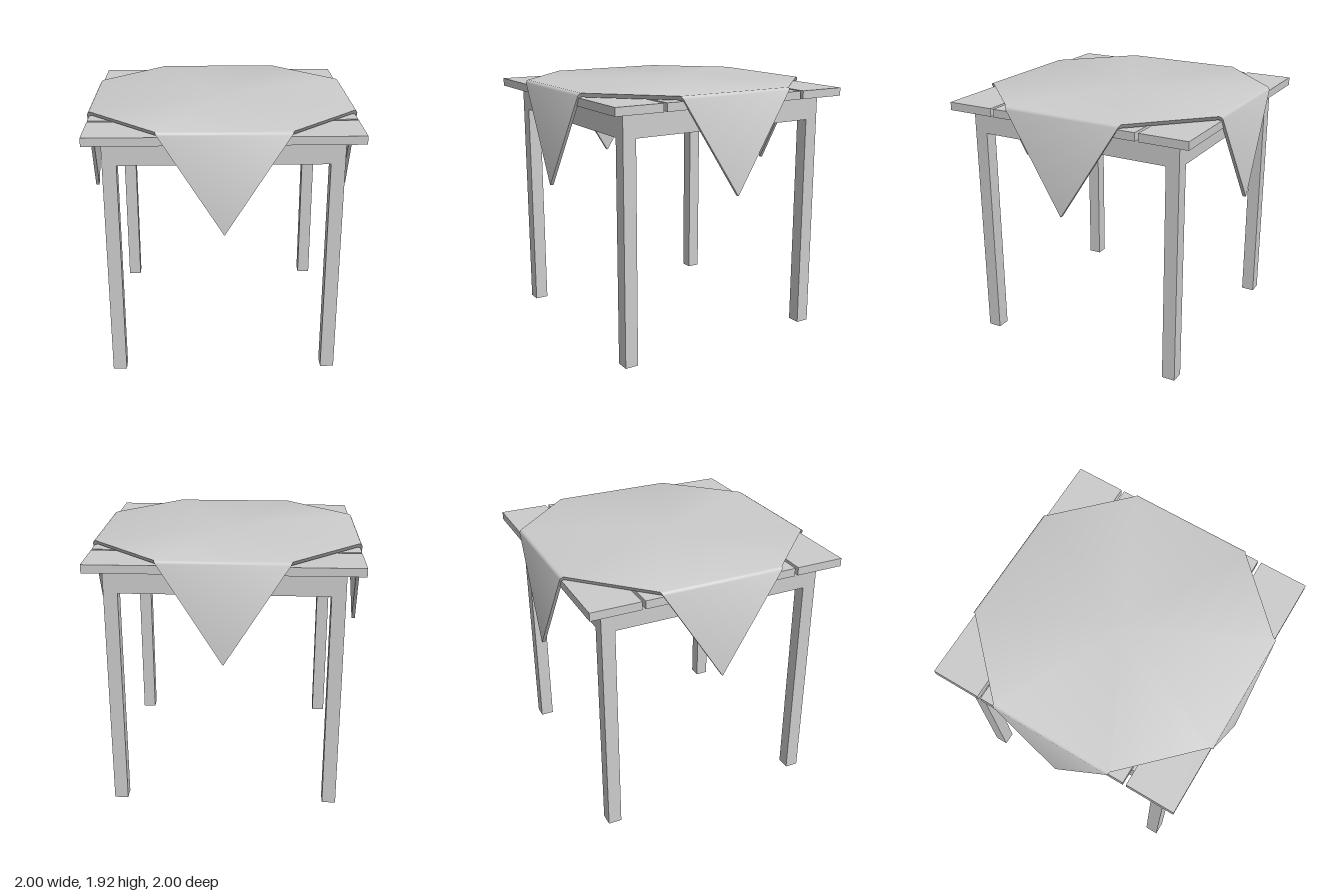
import * as THREE from 'three';
import { toCreasedNormals } from 'three/addons/utils/BufferGeometryUtils.js';

const material = new THREE.MeshStandardMaterial({ color: 0xcccccc });

function box(name, w, h, d, x, y, z) {
  const mesh = new THREE.Mesh(new THREE.BoxGeometry(w, h, d), material);
  mesh.name = name;
  mesh.position.set(x, y, z);
  return mesh;
}

// Square cloth laid diagonally: octagonal top with four hanging triangular flaps
function clothGeometry() {
  // stations over the fold: outer y, outer z, inner y, inner z
  const stations = [
    [1.92, 0.95, 1.89, 0.943],
    [1.913, 0.965, 1.885, 0.948],
    [1.898, 0.973, 1.875, 0.95],
    [1.185, 1.0, 1.185, 0.974],
  ];
  const halfWidth = (y) => Math.max(0.002, 0.465 * (y - 1.185) / 0.735);
  const up = new THREE.Vector3(0, 1, 0);
  const positions = [];
  const tri = (...pts) => pts.forEach((p) => positions.push(p.x, p.y, p.z));
  const quad = (a, b, c, d) => { tri(a, b, c); tri(a, c, d); };

  const flaps = [0, 1, 2, 3].map((side) => stations.map(([yo, zo, yi, zi]) => {
    const wo = halfWidth(yo), wi = halfWidth(yi);
    return [[-wo, yo, zo], [wo, yo, zo], [wi, yi, zi], [-wi, yi, zi]]
      .map((p) => new THREE.Vector3(...p).applyAxisAngle(up, side * Math.PI / 2));
  }));
  const top = new THREE.Vector3(0, 1.92, 0);
  const under = new THREE.Vector3(0, 1.89, 0);

  flaps.forEach((rings, side) => {
    // hanging flap
    for (let s = 0; s < rings.length - 1; s++) {
      const a = rings[s], b = rings[s + 1];
      for (let k = 0; k < 4; k++) quad(a[k], b[k], b[(k + 1) % 4], a[(k + 1) % 4]);
    }
    quad(...[0, 3, 2, 1].map((k) => rings[rings.length - 1][k]));
    // share of the flat top, underside and diagonal hem
    const [oL, oR, iR, iL] = rings[0];
    const next = flaps[(side + 1) % 4][0];
    tri(top, oL, oR);
    tri(top, oR, next[0]);
    tri(under, iR, iL);
    tri(under, next[3], iR);
    quad(oR, iR, next[3], next[0]);
  });

  const geometry = new THREE.BufferGeometry();
  geometry.setAttribute('position', new THREE.Float32BufferAttribute(positions, 3));
  return toCreasedNormals(geometry, 0.75);
}

export function createModel() {
  const model = new THREE.Group();
  model.name = 'tableWithCloth';

  // Legs
  for (const x of [-0.79, 0.79]) {
    for (const z of [-0.79, 0.79]) model.add(box('leg', 0.1, 1.825, 0.1, x, 0.9125, z));
  }

  // Apron rails between the legs
  for (const s of [-1, 1]) {
    model.add(box('apronRail', 1.48, 0.18, 0.1, 0, 1.735, s * 0.79));
    model.add(box('sideApronRail', 0.1, 0.18, 1.48, s * 0.79, 1.735, 0));
  }

  // Five planks with narrow gaps
  const plankCount = 5, gap = 0.025;
  const width = (1.92 - gap * (plankCount - 1)) / plankCount;
  for (let i = 0; i < plankCount; i++) {
    const z = (i - (plankCount - 1) / 2) * (width + gap);
    model.add(box('plank', 1.92, 0.06, width, 0, 1.855, z));
  }

  // Tablecloth
  const cloth = new THREE.Mesh(clothGeometry(), material);
  cloth.name = 'tablecloth';
  model.add(cloth);

  return model;
}
